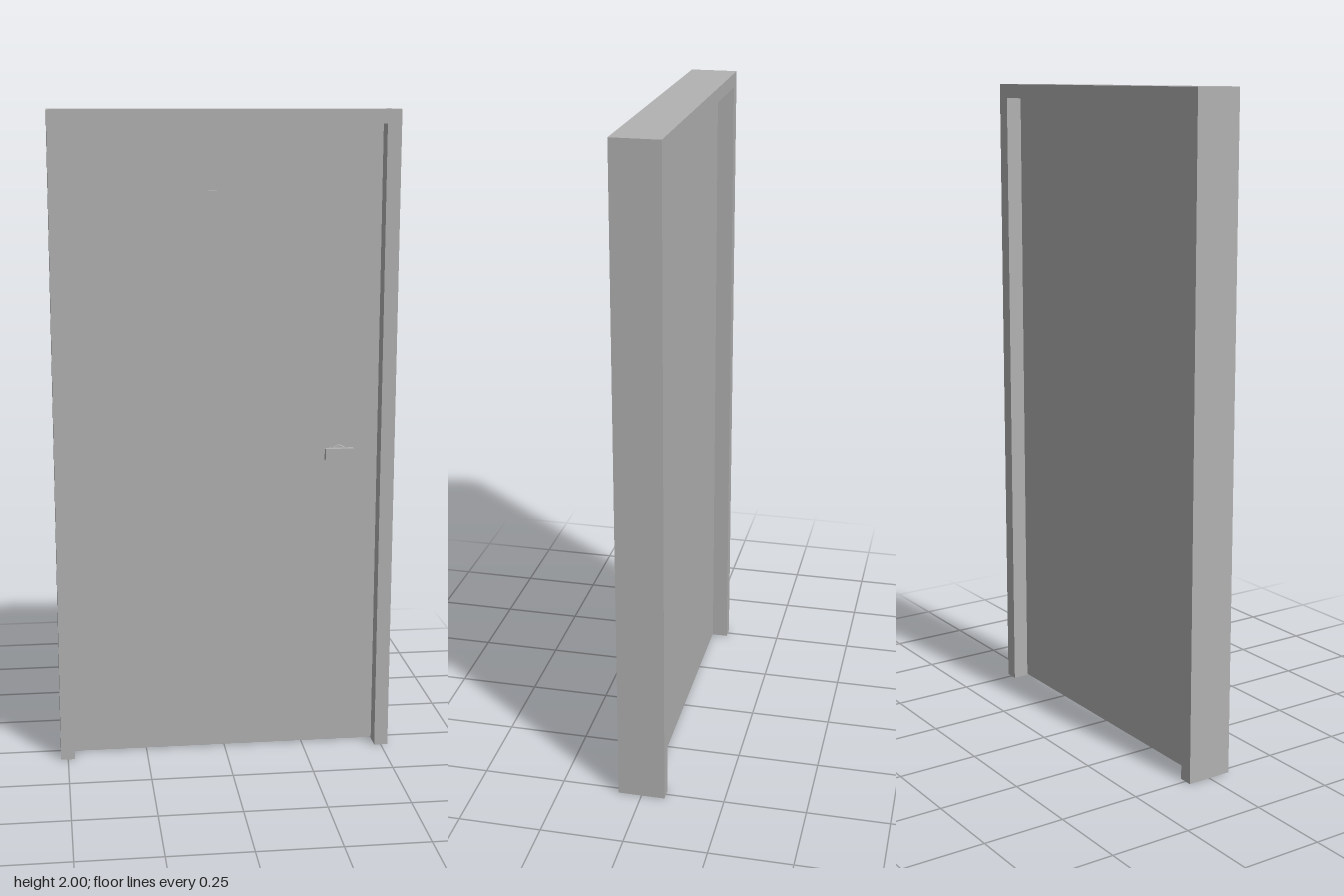
import * as THREE from 'three';

export function createModel() {
  const model = new THREE.Group();
  const grey = new THREE.MeshStandardMaterial({ color: 0xb2b2b2 });
  grey.name = 'plainGrey';

  const add = (name, geometry, x, y, z) => {
    const mesh = new THREE.Mesh(geometry, grey);
    mesh.name = name;
    mesh.position.set(x, y, z);
    model.add(mesh);
    return mesh;
  };

  // Frame: two jambs and a head in one U-shaped extrusion
  const W = 0.522, w = 0.479, H = 2, h = 1.957, depth = 0.143;
  const outline = new THREE.Shape([
    [-W, 0], [-w, 0], [-w, h], [w, h], [w, 0], [W, 0], [W, H], [-W, H],
  ].map(([x, y]) => new THREE.Vector2(x, y)));
  add('frame', new THREE.ExtrudeGeometry(outline, { depth, bevelEnabled: false }), 0, 0, -depth / 2);

  // Door leaf, recessed on both sides
  const front = 0.016, back = -0.021, bottom = 0.004;
  add('doorLeaf', new THREE.BoxGeometry(w * 2, h - bottom, front - back),
    0, (h + bottom) / 2, (front + back) / 2);

  // Fine strip high on the front of the leaf
  add('strip', new THREE.BoxGeometry(0.225, 0.004, 0.004), -0.005, 1.76, front + 0.001);

  // Handle: faceted rose with a short lever
  const rose = new THREE.CylinderGeometry(0.026, 0.026, 0.02, 8).toNonIndexed();
  rose.computeVertexNormals();
  rose.rotateX(Math.PI / 2);
  add('handleRose', rose, 0.357, 0.955, front + 0.01);
  add('handleLever', new THREE.BoxGeometry(0.088, 0.038, 0.018), 0.355, 0.955, front + 0.027);

  return model;
}
